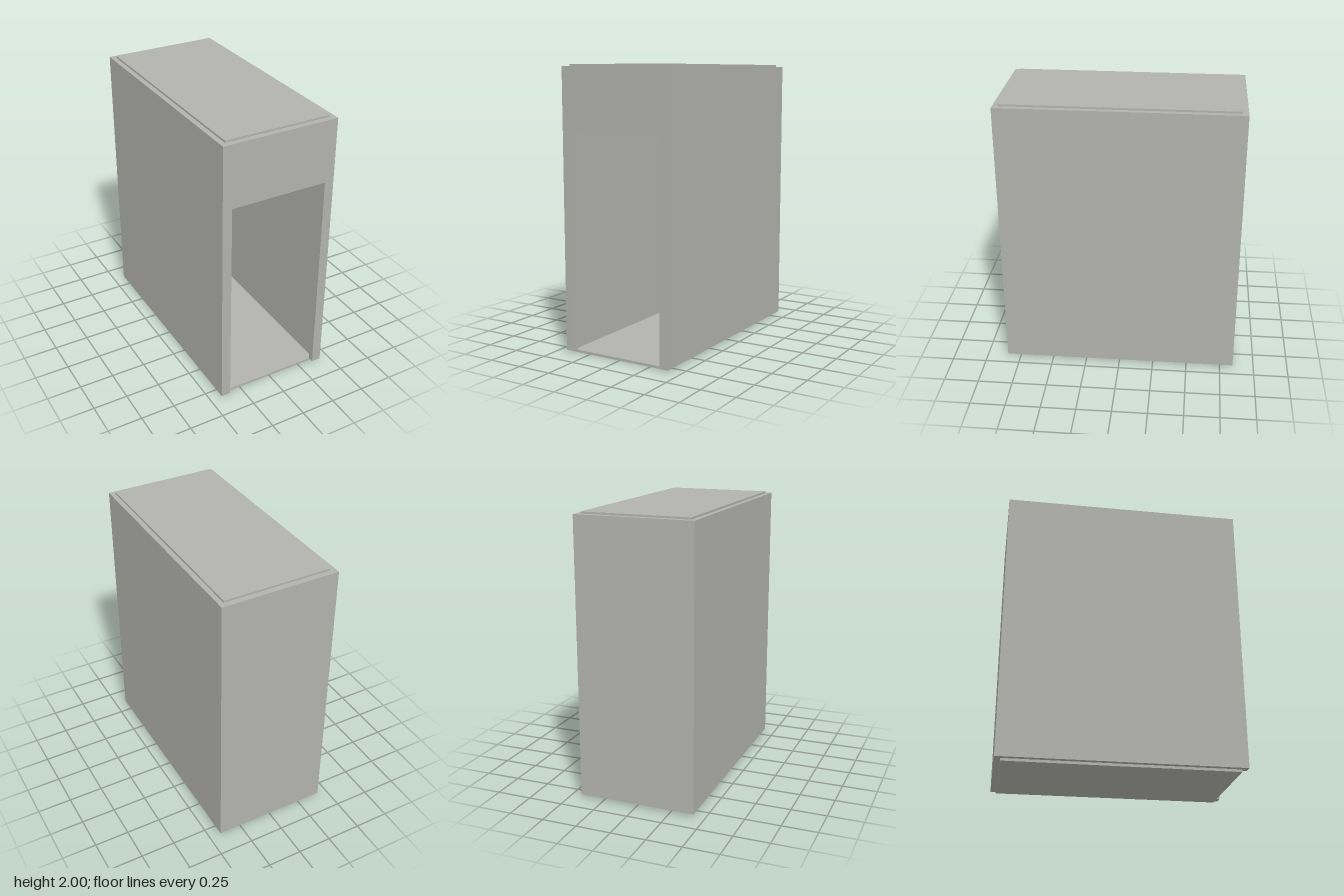
import * as THREE from 'three';

export function createModel() {
  const model = new THREE.Group();
  const plaster = new THREE.MeshStandardMaterial({ color: 0xb2b2ae });
  plaster.name = 'plaster grey';

  const X = 0.42, Z = 0.845, T = 0.04; // outer half sizes and wall thickness
  const Y0 = 0.018, Y1 = 1.986; // wall bottom and top
  const slabX = 0.384, slabZ = 0.805;

  const add = (name, geometry, x, y, z) => {
    const mesh = new THREE.Mesh(geometry, plaster);
    mesh.name = name;
    mesh.position.set(x, y, z);
    model.add(mesh);
  };
  const box = (name, w, h, d, x, y, z) => add(name, new THREE.BoxGeometry(w, h, d), x, y, z);

  // Side walls and back wall
  const h = Y1 - Y0, yMid = (Y0 + Y1) / 2;
  for (const [name, s] of [['leftWall', 1], ['rightWall', -1]]) {
    box(name, T, h, 2 * (Z - T), s * (X - T / 2), yMid, 0);
  }
  box('backWall', 2 * X, h, T, 0, yMid, -Z + T / 2);

  // Front wall with a doorway open at the bottom
  const doorX = 0.352, doorTop = 1.535;
  const front = new THREE.Shape([
    [-X, Y0], [-doorX, Y0], [-doorX, doorTop], [doorX, doorTop],
    [doorX, Y0], [X, Y0], [X, Y1], [-X, Y1],
  ].map(([x, y]) => new THREE.Vector2(x, y)));
  add('frontWall', new THREE.ExtrudeGeometry(front, { depth: T, bevelEnabled: false }), 0, 0, Z - T);

  // Thin floor and roof slabs, inset from the outer walls
  box('floor', 2 * slabX, Y0, 2 * slabZ, 0, Y0 / 2, 0);
  box('roof', 2 * slabX, 2 - Y1, 2 * slabZ, 0, (2 + Y1) / 2, 0);

  return model;
}
